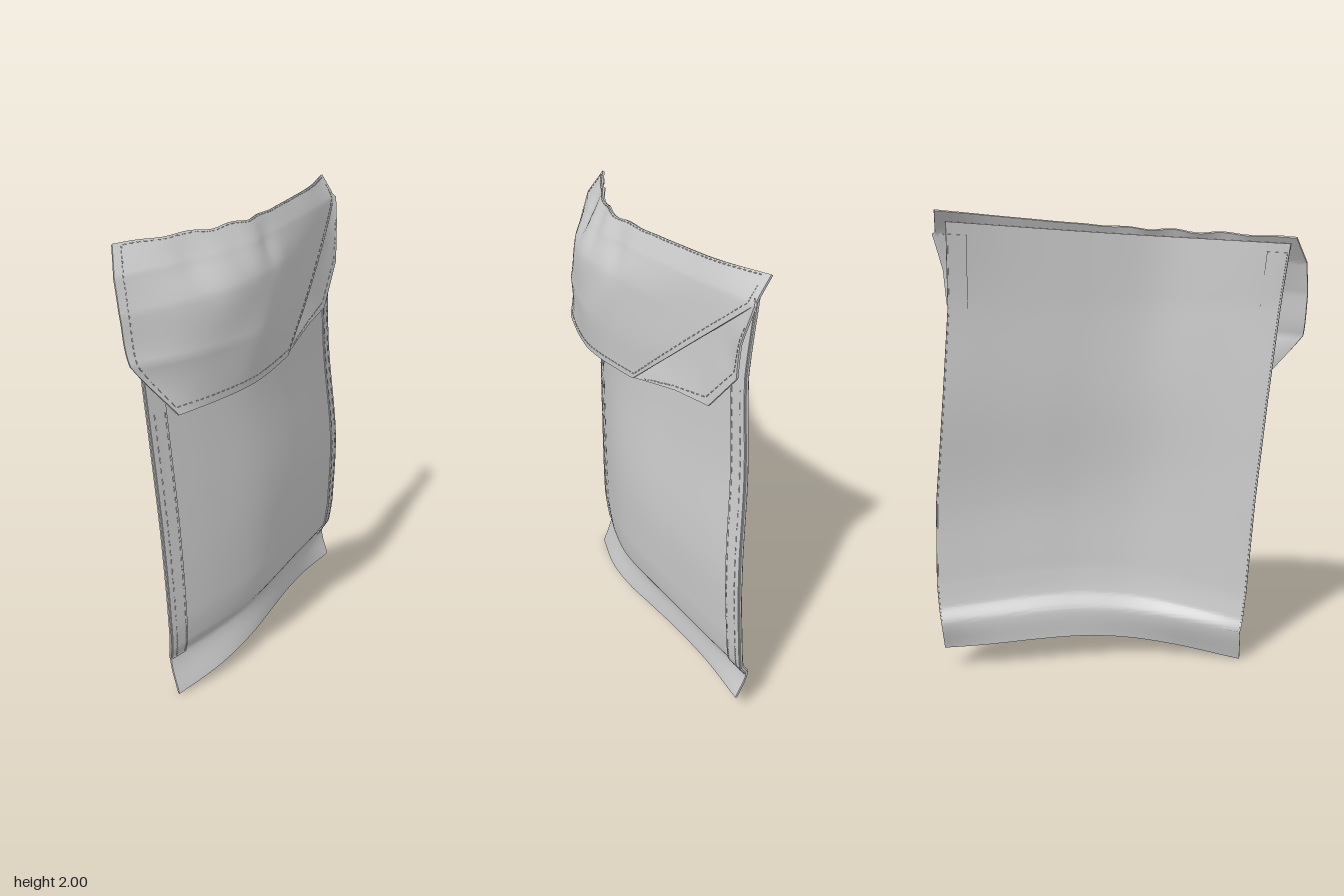
import * as THREE from 'three';
import { toCreasedNormals, mergeGeometries } from 'three/addons/utils/BufferGeometryUtils.js';

// Smooth interpolation through evenly spaced values
function spline(values, t) {
  const n = values.length - 1;
  const s = Math.min(Math.max(t, 0), 1) * n;
  const i = Math.min(Math.floor(s), n - 1);
  const f = s - i;
  const b = values[i], c = values[i + 1];
  const a = i > 0 ? values[i - 1] : 2 * b - c;
  const d = i + 2 <= n ? values[i + 2] : 2 * c - b;
  return b + 0.5 * f * (c - a + f * (2 * a - 5 * b + 4 * c - d + f * (3 * (b - c) + d - a)));
}

function linear(values, t) {
  const s = Math.min(Math.max(t, 0), 1) * (values.length - 1);
  const i = Math.min(Math.floor(s), values.length - 2);
  return THREE.MathUtils.lerp(values[i], values[i + 1], s - i);
}

// Cloth surface from rows: { z: [front, back], y: [front, middle, back], x: [...] }
// u runs front to back, v runs through the rows
function clothSurface(rows, ripple = null) {
  return (u, v) => {
    const p = new THREE.Vector3(
      spline(rows.map((r) => spline(r.x, u)), v),
      linear(rows.map((r) => spline(r.y, u)), v),
      linear(rows.map((r) => linear(r.z, u)), v),
    );
    if (ripple) ripple(p, v);
    return p;
  };
}

function normalAt(surface, u, v) {
  const e = 0.004;
  const du = surface(Math.min(u + e, 1), v).sub(surface(Math.max(u - e, 0), v));
  const dv = surface(u, Math.min(v + e, 1)).sub(surface(u, Math.max(v - e, 0)));
  const n = du.cross(dv).normalize();
  return n.x < 0 ? n.negate() : n;
}

// Closed thin slab following part of a surface, between two normal offsets
function patch(surface, [u0, u1], [v0, v1], [low, high], nu, nv) {
  const pos = [], index = [];
  const layer = (nu + 1) * (nv + 1);
  for (const offset of [high, low]) {
    for (let j = 0; j <= nv; j++) {
      for (let i = 0; i <= nu; i++) {
        const u = u0 + (u1 - u0) * i / nu, v = v0 + (v1 - v0) * j / nv;
        pos.push(...surface(u, v).addScaledVector(normalAt(surface, u, v), offset));
      }
    }
  }
  const id = (i, j) => j * (nu + 1) + i;
  const quad = (a, b, c, d) => index.push(a, b, c, a, c, d);
  for (let j = 0; j < nv; j++) {
    for (let i = 0; i < nu; i++) {
      const a = id(i, j), b = id(i, j + 1), c = id(i + 1, j + 1), d = id(i + 1, j);
      quad(a, b, c, d);
      quad(layer + a, layer + d, layer + c, layer + b);
    }
  }
  const rim = (a, b) => quad(a, b, layer + b, layer + a);
  for (let i = 0; i < nu; i++) {
    rim(id(i, 0), id(i + 1, 0));
    rim(id(i + 1, nv), id(i, nv));
  }
  for (let j = 0; j < nv; j++) {
    rim(id(0, j + 1), id(0, j));
    rim(id(nu, j), id(nu, j + 1));
  }
  const g = new THREE.BufferGeometry();
  g.setAttribute('position', new THREE.Float32BufferAttribute(pos, 3));
  g.setIndex(index);
  return toCreasedNormals(g, 0.9);
}

// Row of short raised threads between two (u, v) points
function stitches(surface, from, to, count, offset) {
  const threads = [];
  const up = new THREE.Vector3(0, 1, 0);
  for (let k = 0; k < count; k++) {
    const at = (f) => {
      const u = THREE.MathUtils.lerp(from[0], to[0], f), v = THREE.MathUtils.lerp(from[1], to[1], f);
      return surface(u, v).addScaledVector(normalAt(surface, u, v), offset);
    };
    const a = at((k + 0.2) / count), b = at((k + 0.75) / count);
    const dir = b.clone().sub(a);
    const g = new THREE.CylinderGeometry(0.002, 0.002, dir.length(), 5);
    g.applyQuaternion(new THREE.Quaternion().setFromUnitVectors(up, dir.normalize()));
    const mid = a.add(b).multiplyScalar(0.5);
    threads.push(g.translate(mid.x, mid.y, mid.z));
  }
  return mergeGeometries(threads);
}

export function createModel() {
  const group = new THREE.Group();
  const cloth = new THREE.MeshStandardMaterial({ color: 0xcccccc, side: THREE.DoubleSide });
  cloth.name = 'grey cloth';
  const add = (name, geometry) => {
    const mesh = new THREE.Mesh(geometry, cloth);
    mesh.name = name;
    group.add(mesh);
  };

  // Main panel, top to bottom, with a pinched crease above the flared hem
  const panel = clothSurface([
    { z: [0.68, -0.70], y: [1.86, 1.90, 1.95], x: [-0.18, -0.03, 0.075, 0.10, 0.105, 0.10, 0.08] },
    { z: [0.66, -0.70], y: [1.60, 1.60, 1.60], x: [-0.14, -0.01, 0.09, 0.12, 0.125, 0.125, 0.12] },
    { z: [0.625, -0.735], y: [1.20, 1.20, 1.20], x: [-0.115, 0.01, 0.10, 0.135, 0.14, 0.14, 0.13] },
    { z: [0.59, -0.775], y: [0.75, 0.77, 0.75], x: [-0.09, 0.035, 0.13, 0.168, 0.174, 0.174, 0.165] },
    { z: [0.565, -0.785], y: [0.32, 0.42, 0.40], x: [-0.075, 0.04, 0.125, 0.158, 0.163, 0.163, 0.155] },
    { z: [0.55, -0.78], y: [0.20, 0.305, 0.285], x: [-0.08, 0.03, 0.11, 0.14, 0.147, 0.147, 0.14] },
    { z: [0.535, -0.775], y: [0.145, 0.24, 0.225], x: [-0.087, 0.005, 0.075, 0.103, 0.108, 0.11, 0.11] },
    { z: [0.55, -0.76], y: [0, 0.11, 0.10], x: [-0.045, 0.045, 0.095, 0.11, 0.112, 0.12, 0.147] },
  ]);
  add('panel', patch(panel, [0, 1], [0, 1], [-0.005, 0.005], 36, 70));

  // Folded side edges with two stitch lines each
  for (const [side, edge, inner, top] of [['front', 0.004, 0.055, 0.27], ['back', 0.996, 0.94, 0.16]]) {
    const range = [Math.min(edge, inner), Math.max(edge, inner)];
    add(side + 'EdgeFold', patch(panel, range, [0.02, 0.85], [-0.011, 0.01], 3, 60));
    for (const f of [0.3, 0.9]) {
      const u = THREE.MathUtils.lerp(edge, inner, f);
      add(side + 'EdgeStitching', stitches(panel, [u, top], [u, 0.84], 40, 0.01));
    }
  }

  // Flap, cut along a diagonal at its back, with gathers below the top edge
  const flap = clothSurface([
    { z: [0.70, -0.745], y: [1.885, 1.93, 1.995], x: [-0.195, -0.035, 0.08, 0.105, 0.11, 0.11, 0.075] },
    { z: [0.765, -0.74], y: [1.78, 1.85, 1.90], x: [-0.155, 0.0, 0.12, 0.14, 0.145, 0.145, 0.135] },
    { z: [0.785, -0.55], y: [1.65, 1.72, 1.735], x: [-0.125, 0.04, 0.15, 0.18, 0.175, 0.165, 0.16] },
    { z: [0.785, -0.30], y: [1.47, 1.50, 1.52], x: [-0.09, 0.045, 0.13, 0.185, 0.187, 0.182, 0.175] },
    { z: [0.65, -0.07], y: [1.265, 1.295, 1.325], x: [0.03, 0.08, 0.125, 0.16, 0.175, 0.178, 0.178] },
  ], (p, v) => {
    for (const [z, y, depth] of [[0.48, 1.8, 0.02], [0.28, 1.84, 0.016], [0.08, 1.82, 0.014]]) {
      p.x -= depth * Math.exp(-(((p.z - z) / 0.06) ** 2) - (((p.y - y) / 0.09) ** 2));
    }
    const gather = Math.exp(-(((p.z - 0.3) / 0.3) ** 2)) * Math.max(0, 1 - 4 * v);
    p.y += 0.006 * Math.sin(p.z * 32) * gather;
  });
  add('flap', patch(flap, [0, 1], [0, 1], [-0.005, 0.005], 60, 48));

  // Stitching around the flap
  for (const [from, to, count] of [
    [[0.02, 0.02], [0.98, 0.02], 60],
    [[0.02, 0.02], [0.02, 0.97], 26],
    [[0.02, 0.965], [0.98, 0.965], 30],
    [[0.98, 0.1], [0.97, 0.96], 34],
  ]) add('flapStitching', stitches(flap, from, to, count, 0.005));

  // Back corner of the flap, tucked beneath the diagonal
  const corner = clothSurface([
    { z: [-0.04, -0.07], y: [1.345, 1.335, 1.325], x: [0.17, 0.172, 0.174] },
    { z: [-0.12, -0.20], y: [1.42, 1.39, 1.36], x: [0.155, 0.165, 0.172] },
    { z: [-0.23, -0.35], y: [1.50, 1.45, 1.40], x: [0.148, 0.16, 0.172] },
    { z: [-0.39, -0.55], y: [1.65, 1.54, 1.43], x: [0.143, 0.155, 0.17] },
    { z: [-0.55, -0.70], y: [1.77, 1.69, 1.61], x: [0.14, 0.15, 0.168] },
    { z: [-0.63, -0.71], y: [1.83, 1.79, 1.75], x: [0.138, 0.148, 0.165] },
    { z: [-0.73, -0.75], y: [1.92, 1.91, 1.90], x: [0.13, 0.135, 0.145] },
  ]);
  add('flapCorner', patch(corner, [0, 1], [0, 1], [-0.004, 0.004], 10, 36));
  add('flapCornerStitching', stitches(corner, [0.88, 0.1], [0.88, 0.9], 30, 0.004));

  return group;
}
